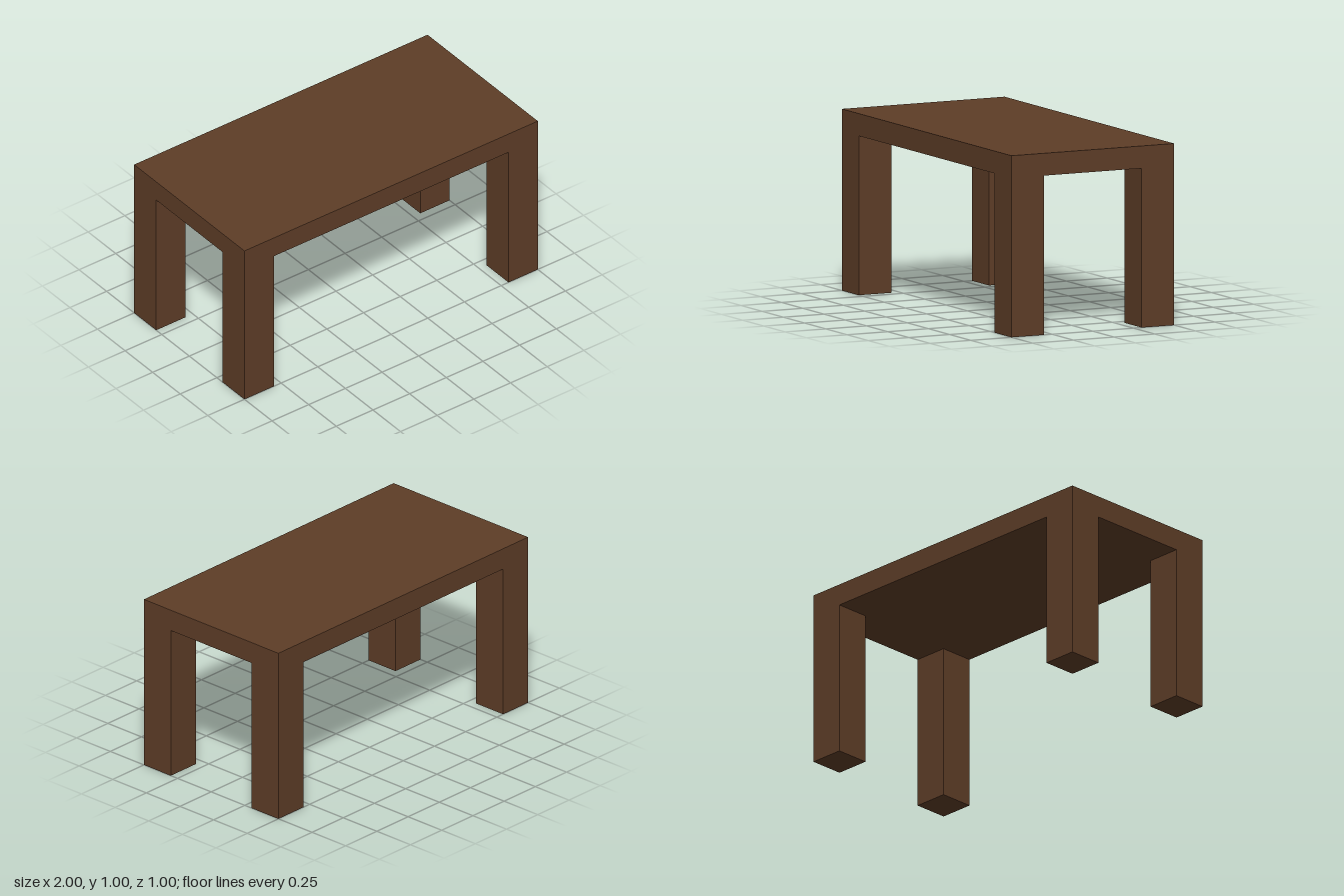
import * as THREE from 'three';

const WIDTH = 2, HEIGHT = 1, DEPTH = 1;
const TOP_THICKNESS = 0.123, LEG = 0.2;

export function createModel() {
  const table = new THREE.Group();
  table.name = 'table';
  const wood = new THREE.MeshStandardMaterial({ color: 0x5e3d27 });

  // Slab flush with the outer faces of the legs
  const top = new THREE.Mesh(new THREE.BoxGeometry(WIDTH, TOP_THICKNESS, DEPTH), wood);
  top.name = 'tableTop';
  top.position.y = HEIGHT - TOP_THICKNESS / 2;
  table.add(top);

  // Four square legs, one in each corner
  const legHeight = HEIGHT - TOP_THICKNESS;
  const legGeometry = new THREE.BoxGeometry(LEG, legHeight, LEG);
  for (const [sideName, sx] of [['Left', 1], ['Right', -1]]) {
    for (const [endName, sz] of [['front', 1], ['back', -1]]) {
      const leg = new THREE.Mesh(legGeometry, wood);
      leg.name = `${endName}${sideName}Leg`;
      leg.position.set(sx * (WIDTH - LEG) / 2, legHeight / 2, sz * (DEPTH - LEG) / 2);
      table.add(leg);
    }
  }
  return table;
}
